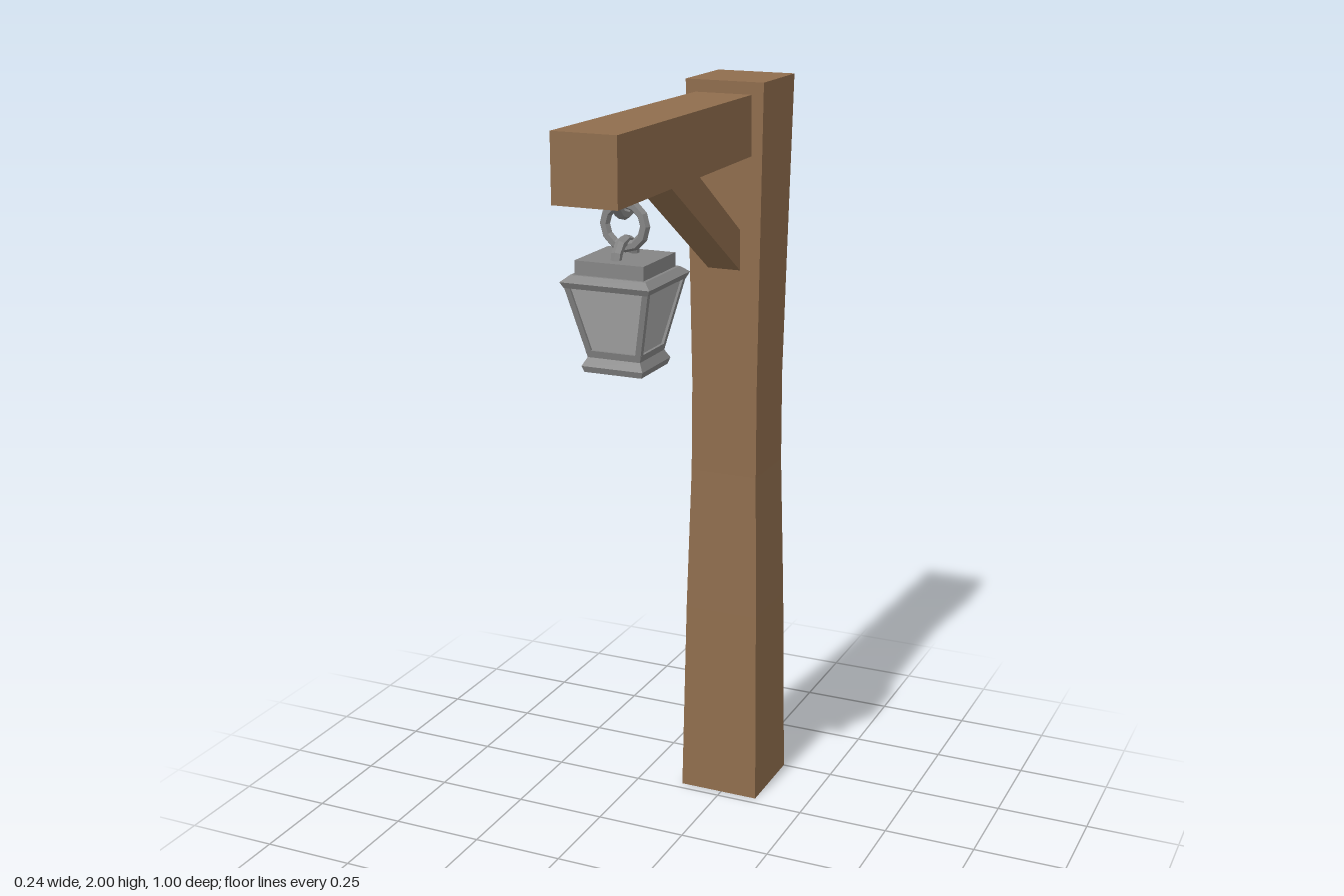
import * as THREE from 'three';

const wood = new THREE.MeshStandardMaterial({ color: 0x8f6d4d, flatShading: true });
const metal = new THREE.MeshStandardMaterial({ color: 0x858585, flatShading: true });
const glass = new THREE.MeshStandardMaterial({ color: 0xaaaaaa, flatShading: true });

// Rectangular column through sections [y, half width, centre x, centre z]
function loft(sections) {
  const n = sections.length - 1;
  const geo = new THREE.BoxGeometry(2, n, 2, 1, n, 1);
  const p = geo.attributes.position;
  for (let i = 0; i < p.count; i++) {
    const [y, half, cx = 0, cz = 0] = sections[Math.round(p.getY(i) + n / 2)];
    p.setXYZ(i, cx + p.getX(i) * half, y, cz + p.getZ(i) * half);
  }
  const flat = geo.toNonIndexed();
  flat.computeVertexNormals();
  return flat;
}

function add(parent, name, geo, material) {
  const mesh = new THREE.Mesh(geo, material);
  mesh.name = name;
  parent.add(mesh);
  return mesh;
}

export function createModel() {
  const model = new THREE.Group();
  model.name = 'lanternPost';

  // Post, narrowest a little above the middle
  const post = [[0, 0.113], [0.55, 0.104], [0.95, 0.094], [1.2, 0.093], [1.5, 0.098], [2, 0.107]];
  add(model, 'post', loft(post.map(([y, h]) => [y, h, -0.008, -0.388])), wood);

  // Beam, built upright and laid forward
  const beam = loft([[-0.33, 0.077, -0.011, -1.891], [0.5, 0.082, -0.012, -1.892]]);
  add(model, 'beam', beam.rotateX(Math.PI / 2), wood);

  // Diagonal brace, running into the post and beam
  const outline = [[0.33, 1.489], [0.33, 1.593], [-0.05, 1.85], [-0.22, 1.85]];
  const braceShape = new THREE.Shape(outline.map(([x, y]) => new THREE.Vector2(x, y)));
  const brace = new THREE.ExtrudeGeometry(braceShape, { depth: 0.09, bevelEnabled: false });
  add(model, 'brace', brace.rotateY(Math.PI / 2).translate(-0.054, 0, 0), wood);

  // Hanging group shares the lantern axis
  const hanging = new THREE.Group();
  hanging.name = 'hangingLantern';
  hanging.position.set(0.003, 0, 0.326);
  model.add(hanging);

  // Chain links, alternately turned
  [1.657, 1.743, 1.818].forEach((y, i) => {
    const link = add(hanging, 'chainLink', new THREE.TorusGeometry(0.051, 0.013, 6, 12), metal);
    link.position.y = y;
    link.rotation.y = i === 1 ? 0 : Math.PI / 2;
  });

  // Lantern roof with its raised cap
  add(hanging, 'lanternRoof', loft([
    [1.608, 0.106], [1.622, 0.113], [1.637, 0.095], [1.637, 0.087], [1.67, 0.087],
  ]), metal);

  // Inset panes and the four slanted corner bars
  add(hanging, 'lanternPanes', loft([[1.445, 0.061], [1.612, 0.1]]), glass);
  for (const sx of [-1, 1]) {
    for (const sz of [-1, 1]) {
      add(hanging, 'cornerBar', loft([
        [1.445, 0.007, sx * 0.061, sz * 0.061], [1.612, 0.007, sx * 0.099, sz * 0.099],
      ]), metal);
    }
  }

  // Lantern base with a flared foot
  add(hanging, 'lanternBase', loft([
    [1.405, 0.073], [1.42, 0.078], [1.44, 0.067], [1.457, 0.071],
  ]), metal);

  return model;
}
